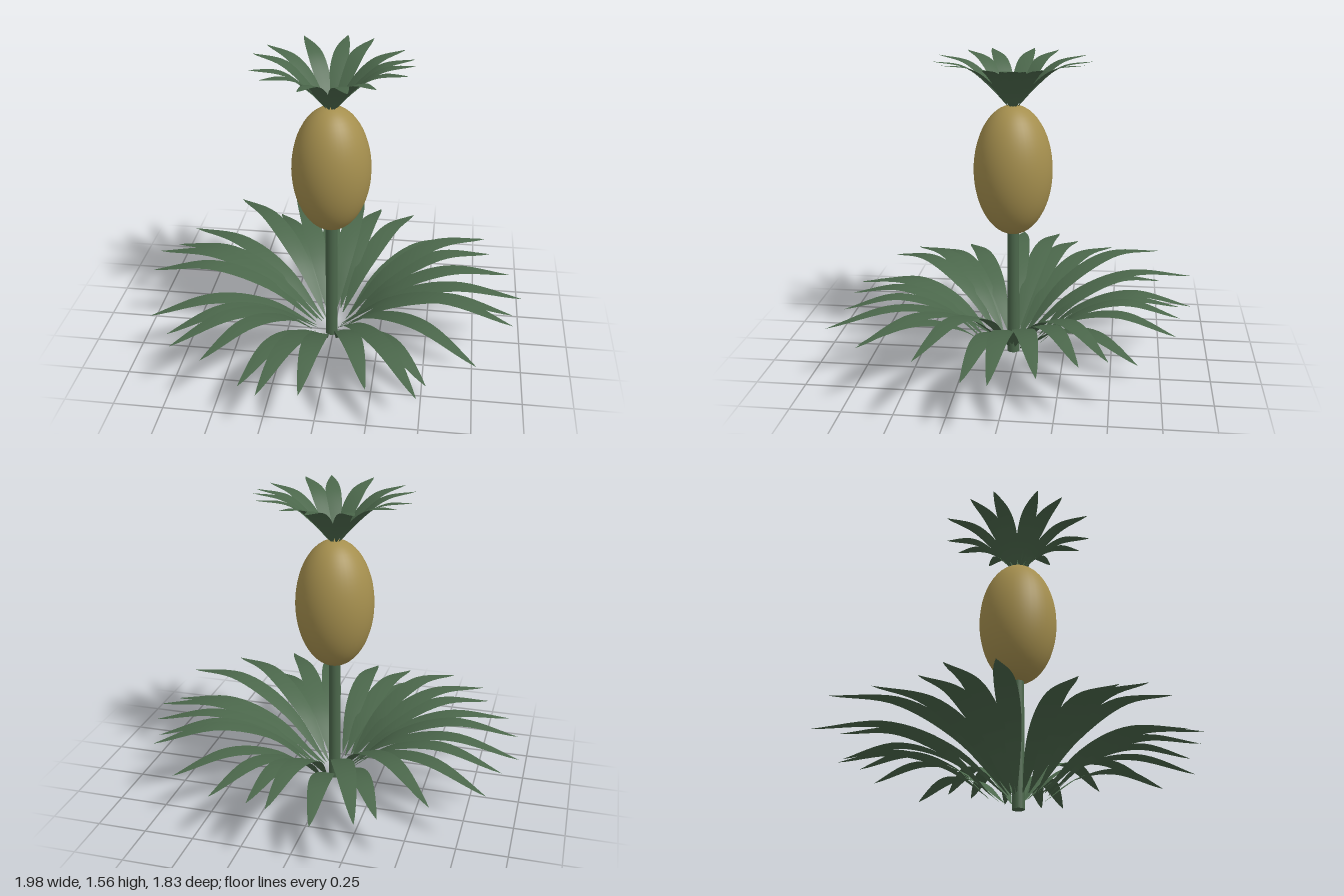
import * as THREE from 'three';

const GOLDEN = THREE.MathUtils.degToRad(137.508);

// Pointed strap leaf along +x, swept over a list of [radius, height] points
function leafGeometry(profile, halfWidth) {
  const curve = new THREE.CatmullRomCurve3(profile.map(([r, y]) => new THREE.Vector3(r, y, 0)));
  const steps = 20, across = 2;
  const geo = new THREE.PlaneGeometry(1, 1, steps, across);
  const pos = geo.attributes.position;
  for (let i = 0; i < pos.count; i++) {
    const t = pos.getX(i) + 0.5;
    const side = -pos.getY(i) * 2;
    const p = curve.getPoint(t);
    // narrow at the base, widest past the middle, pointed at the tip
    const w = halfWidth * Math.max(0.04 * (1 - t), Math.pow(Math.sin(Math.PI * Math.pow(t, 1.05)), 0.85));
    pos.setXYZ(i, p.x, p.y - 0.004 * Math.abs(side) * w / halfWidth, side * w);
  }
  geo.computeVertexNormals();
  return geo;
}

export function createModel() {
  const leafGreen = new THREE.MeshStandardMaterial({ color: 0x4b674b, side: THREE.DoubleSide });
  leafGreen.name = 'leafGreen';
  const fruitGold = new THREE.MeshStandardMaterial({ color: 0xa58f4e });
  fruitGold.name = 'fruitGold';

  const plant = new THREE.Group();
  plant.name = 'fruitPlant';
  plant.position.set(-0.01, 0, 0.02);

  const add = (parent, name, geometry, material) => {
    const mesh = new THREE.Mesh(geometry, material);
    mesh.name = name;
    parent.add(mesh);
    return mesh;
  };

  // Stem
  add(plant, 'stem', new THREE.CylinderGeometry(0.03, 0.032, 0.7, 20), leafGreen).position.y = 0.35;

  // Fruit
  const fruit = add(plant, 'fruit', new THREE.SphereGeometry(1, 40, 28), fruitGold);
  fruit.scale.set(0.2, 0.335, 0.2);
  fruit.position.y = 0.995;

  // Arching rosette of long leaves, in a spiral with cycling lengths and lifts
  const rosette = new THREE.Group();
  rosette.name = 'rosette';
  plant.add(rosette);
  for (let i = 0; i < 29; i++) {
    const size = i % 4, lift = i % 3;
    const r0 = 0.055 + 0.03 * size, r1 = 1 - 0.04 * size;
    const y0 = 0.06, tip = 0.3 + 0.033 * lift - 0.02 * size, h = tip + 0.052 - y0;
    const at = (t, y) => [r0 + (r1 - r0) * t, y];
    const geo = leafGeometry([at(0, y0), at(0.28, y0 + h * 0.68), at(0.62, y0 + h), at(1, tip)], 0.054);
    add(rosette, 'rosetteLeaf', geo, leafGreen).rotation.y = -i * GOLDEN;
  }

  // Crown of short leaves flaring from the top of the fruit
  const crown = new THREE.Group();
  crown.name = 'crown';
  plant.add(crown);
  const crownLeaf = leafGeometry([[0.025, 1.32], [0.11, 1.425], [0.24, 1.528], [0.4, 1.556]], 0.042);
  for (let i = 0; i < 14; i++) {
    add(crown, 'crownLeaf', crownLeaf, leafGreen).rotation.y = -i * GOLDEN;
  }

  const model = new THREE.Group();
  model.name = 'model';
  model.add(plant);
  return model;
}
